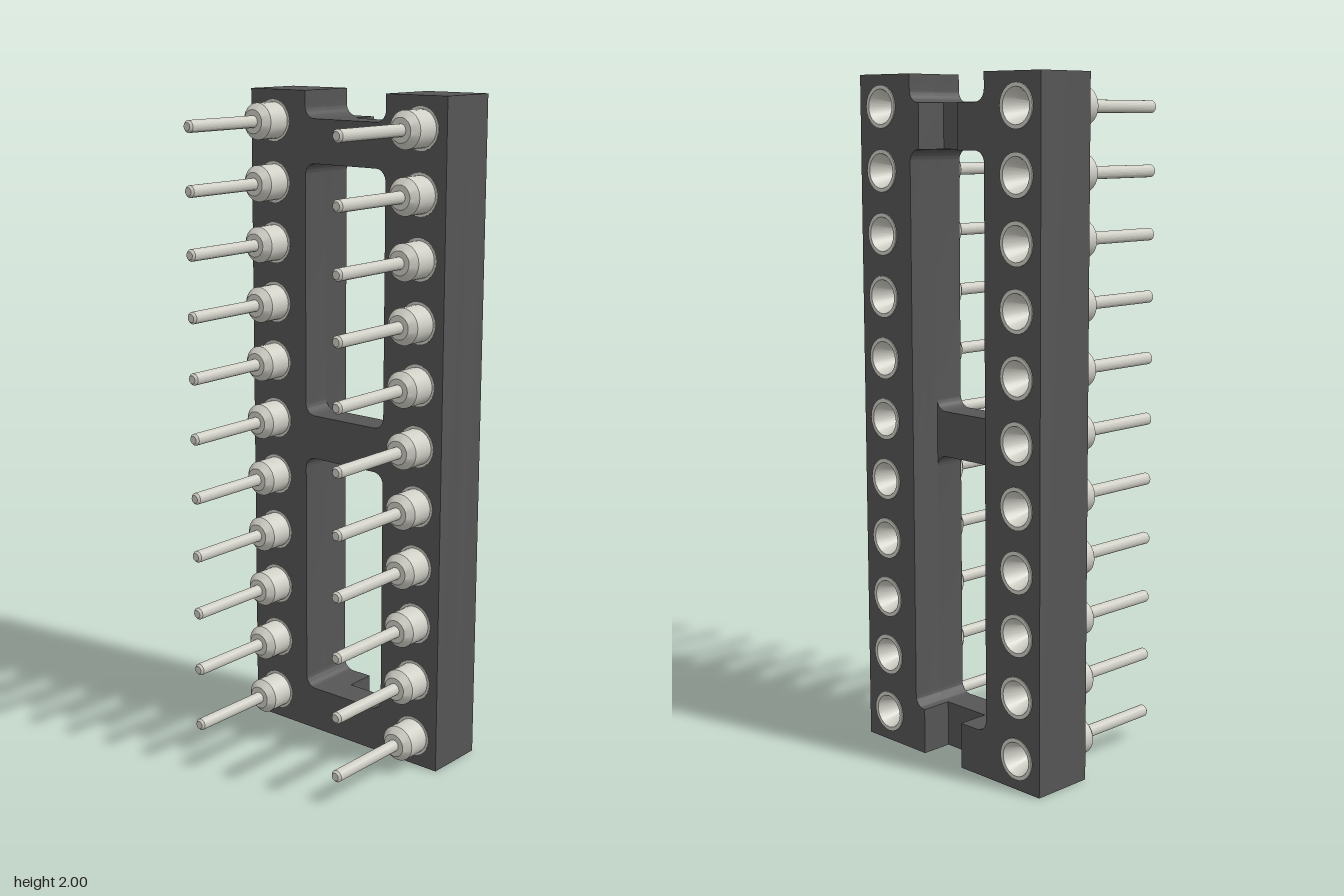
import * as THREE from 'three';
import { toCreasedNormals } from 'three/addons/utils/BufferGeometryUtils.js';

const W = 0.363, IN = 0.15, R = 0.035;          // half width, half window width, fillet radius
const Z_BACK = -0.278, Z_MID = -0.182, Z_FRONT = -0.087;
const BARS = [[0, 0.137], [0.895, 1.03], [1.79, 1.92]];
const PIN_X = 0.273, PIN_R = 0.0615, PINS = 11, PITCH = 2 / PINS;

// quarter-round from the current point around corner (cx, cy) to (x, y)
function round(path, cx, cy, x, y) {
  const p = path.currentPoint, k = 0.5523;
  path.bezierCurveTo(p.x + (cx - p.x) * k, p.y + (cy - p.y) * k,
    x + (cx - x) * k, y + (cy - y) * k, x, y);
}

function windowHole(y0, y1) {
  const h = new THREE.Path();
  h.moveTo(-IN + R, y0);
  h.lineTo(IN - R, y0);
  round(h, IN, y0, IN, y0 + R);
  h.lineTo(IN, y1 - R);
  round(h, IN, y1, IN - R, y1);
  h.lineTo(-IN + R, y1);
  round(h, -IN, y1, -IN, y1 - R);
  h.lineTo(-IN, y0 + R);
  round(h, -IN, y0, -IN + R, y0);
  return h;
}

function addPinHoles(shape, side) {
  for (let i = 0; i < PINS; i++) {
    const h = new THREE.Path();
    h.absarc(side * PIN_X, (i + 0.5) * PITCH, PIN_R, 0, Math.PI * 2, true);
    shape.holes.push(h);
  }
}

// front layer: whole frame with two windows and an open notch at the top
function frameShape() {
  const s = new THREE.Shape(), top = BARS[2][1];
  s.moveTo(-W, 0);
  s.lineTo(W, 0);
  s.lineTo(W, 2);
  s.lineTo(IN, 2);
  s.lineTo(IN, top + R);
  round(s, IN, top, IN - R, top);
  s.lineTo(-IN + R, top);
  round(s, -IN, top, -IN, top + R);
  s.lineTo(-IN, 2);
  s.lineTo(-W, 2);
  s.closePath();
  s.holes.push(windowHole(BARS[0][1], BARS[1][0]), windowHole(BARS[1][1], BARS[2][0]));
  addPinHoles(s, 1);
  addPinHoles(s, -1);
  return s;
}

// back layer: one rail with stubs reaching to stubX at the end bars
function railShape(side, stubX) {
  const s = new THREE.Shape(), w = side * W, n = side * IN, f = side * (IN - R);
  const [low, , high] = BARS;
  s.moveTo(w, 0);
  s.lineTo(w, 2);
  s.lineTo(n, 2);
  s.lineTo(n, high[1] + R);
  round(s, n, high[1], f, high[1]);
  s.lineTo(stubX, high[1]);
  s.lineTo(stubX, high[0]);
  s.lineTo(f, high[0]);
  round(s, n, high[0], n, high[0] - R);
  s.lineTo(n, low[1] + R);
  round(s, n, low[1], f, low[1]);
  s.lineTo(stubX, low[1]);
  s.lineTo(stubX, 0);
  s.closePath();
  addPinHoles(s, side);
  return s;
}

function slab(name, shape, z0, z1, material) {
  const g = new THREE.ExtrudeGeometry(shape, { depth: z1 - z0, bevelEnabled: false, curveSegments: 12 });
  g.translate(0, 0, z0);
  const mesh = new THREE.Mesh(toCreasedNormals(g, 0.6), material);
  mesh.name = name;
  return mesh;
}

// turned contact: funnel socket at the back, collar and thin leg at the front
function pinGeometry() {
  const profile = [
    [0, -0.12], [0.018, -0.12], [0.018, -0.2], [0.05, -0.281], [PIN_R, -0.281],
    [PIN_R, -0.086], [0.054, -0.086], [0.054, -0.015], [0.035, 0.005],
    [0.018, 0.005], [0.018, 0.271], [0.012, 0.278], [0, 0.278],
  ].map(([r, z]) => new THREE.Vector2(r, z));
  const g = new THREE.LatheGeometry(profile, 24);
  g.rotateX(Math.PI / 2);
  return toCreasedNormals(g, 0.5);
}

export function createModel() {
  const model = new THREE.Group();
  model.name = 'pinSocket';
  const plastic = new THREE.MeshStandardMaterial({ color: 0x555555 });
  const metal = new THREE.MeshStandardMaterial({ color: 0xd0cfc6 });

  const body = new THREE.Group();
  body.name = 'body';
  body.add(
    slab('frame', frameShape(), Z_MID, Z_FRONT, plastic),
    slab('leftRail', railShape(1, 0.113), Z_BACK, Z_MID, plastic),
    slab('rightRail', railShape(-1, -0.046), Z_BACK, Z_MID, plastic),
  );
  model.add(body);

  const pin = pinGeometry();
  for (const side of [1, -1]) {
    const row = new THREE.Group();
    row.name = side > 0 ? 'leftPins' : 'rightPins';
    for (let i = 0; i < PINS; i++) {
      const mesh = new THREE.Mesh(pin, metal);
      mesh.name = 'pin';
      mesh.position.set(side * PIN_X, (i + 0.5) * PITCH, 0);
      row.add(mesh);
    }
    model.add(row);
  }
  return model;
}
